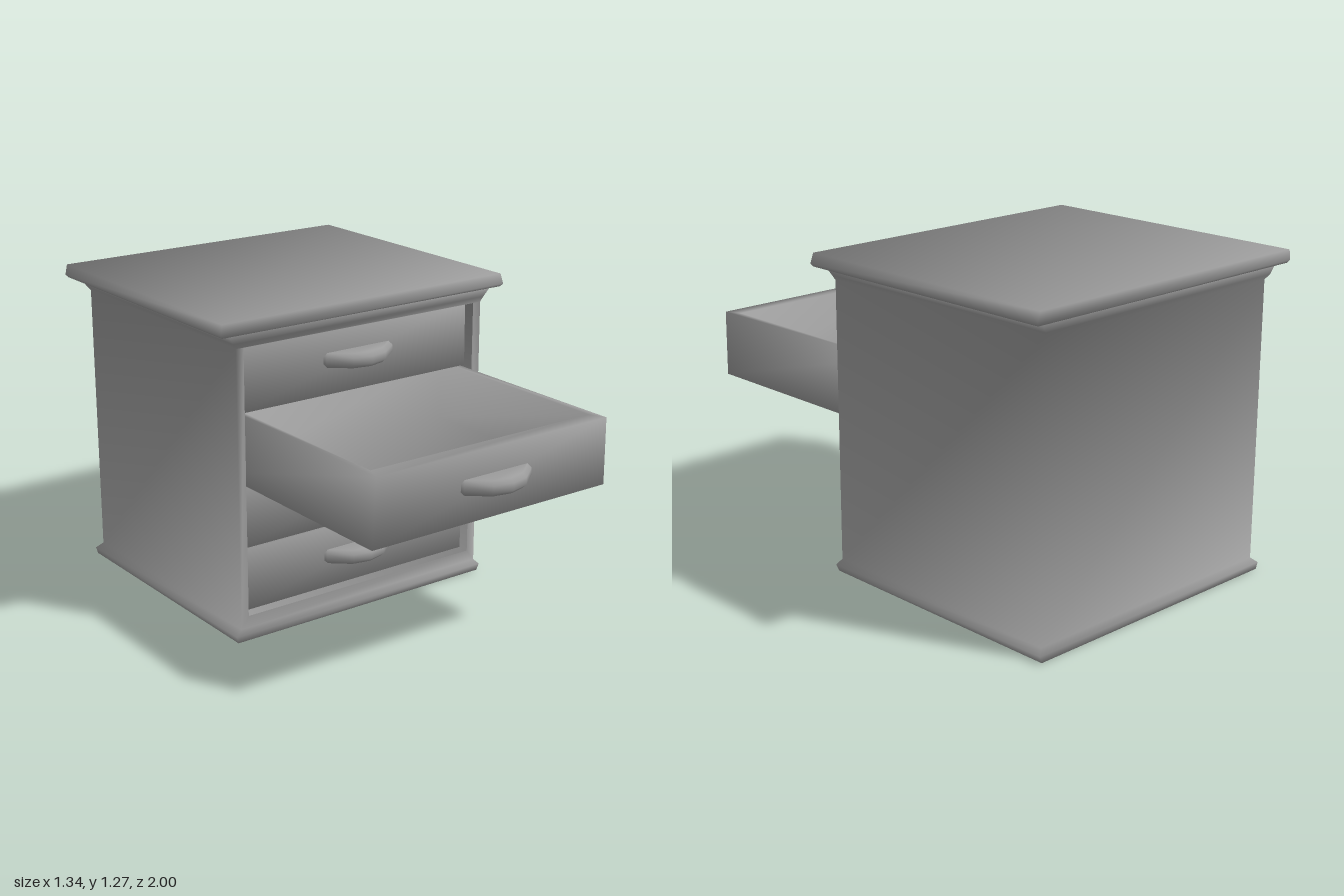
import * as THREE from 'three';
import { mergeGeometries, mergeVertices } from 'three/addons/utils/BufferGeometryUtils.js';

const material = new THREE.MeshStandardMaterial({ color: 0x9c9c9c });

function add(parent, name, geometry, x = 0, y = 0, z = 0) {
  const mesh = new THREE.Mesh(geometry, material);
  mesh.name = name;
  mesh.position.set(x, y, z);
  parent.add(mesh);
  return mesh;
}

// Welds the pieces and rounds the shading over every edge, weighted by corner angle
function smooth(...pieces) {
  const bare = pieces.map((piece) => {
    const flat = piece.index ? piece.toNonIndexed() : piece;
    return new THREE.BufferGeometry().setAttribute('position', flat.getAttribute('position'));
  });
  const g = mergeVertices(mergeGeometries(bare), 1e-4);
  const pos = g.getAttribute('position');
  const normals = Array.from({ length: pos.count }, () => new THREE.Vector3());
  const corner = (i) => new THREE.Vector3().fromBufferAttribute(pos, i);
  for (let t = 0; t < g.index.count; t += 3) {
    const ids = [0, 1, 2].map((k) => g.index.getX(t + k));
    const p = ids.map(corner);
    const face = new THREE.Triangle(...p).getNormal(new THREE.Vector3());
    ids.forEach((id, k) => {
      const u = p[(k + 1) % 3].clone().sub(p[k]), v = p[(k + 2) % 3].clone().sub(p[k]);
      normals[id].addScaledVector(face, u.angleTo(v));
    });
  }
  const data = normals.flatMap((n) => n.normalize().toArray());
  return g.setAttribute('normal', new THREE.Float32BufferAttribute(data, 3));
}

// Solid lofted through rectangles [y, xLeft, xRight, zBack, zFront]; one row may have an open front
function loftRects(rows, openRow = -1) {
  const pos = [], index = [];
  for (const [y, l, r, b, f] of rows) pos.push(l, y, f, r, y, f, r, y, b, l, y, b);
  for (let row = 0; row < rows.length - 1; row++) {
    for (let i = row === openRow ? 1 : 0; i < 4; i++) {
      const a = row * 4 + i, n = row * 4 + (i + 1) % 4;
      index.push(a, n, n + 4, a, n + 4, a + 4);
    }
  }
  const t = (rows.length - 1) * 4;
  index.push(0, 2, 1, 0, 3, 2, t, t + 1, t + 2, t, t + 2, t + 3);
  const g = new THREE.BufferGeometry();
  g.setAttribute('position', new THREE.Float32BufferAttribute(pos, 3));
  g.setIndex(index);
  return g;
}

function polygon(points) {
  return new THREE.Shape(points.map(([x, y]) => new THREE.Vector2(x, y)));
}

// Bow-shaped solid pull with bevelled upper and lower edges
function handleGeometry() {
  const outline = [[-0.16, -0.02], [-0.145, 0.005], [-0.07, 0.07], [0.005, 0.085],
    [0.075, 0.068], [0.155, 0.005], [0.17, -0.02]];
  const g = new THREE.ExtrudeGeometry(polygon(outline), {
    depth: 0.028, bevelEnabled: true, bevelThickness: 0.015, bevelSize: 0.015,
    bevelOffset: -0.005, bevelSegments: 1,
  });
  g.translate(0, 0, -0.014);
  g.rotateX(Math.PI / 2);
  return smooth(g);
}

// Open-topped drawer; its front face lies at z = 0
function makeDrawer(height, handleY) {
  const drawer = new THREE.Group();
  const box = loftRects([
    [0, -0.547, 0.542, -0.96, 0],
    [height, -0.532, 0.54, -0.96, 0],
    [height, -0.508, 0.51, -0.93, -0.063],
    [0.025, -0.508, 0.51, -0.93, -0.063],
  ]);
  add(drawer, 'drawerBox', smooth(box));
  add(drawer, 'drawerHandle', handleGeometry(), 0, handleY, 0);
  return drawer;
}

export function createModel() {
  const model = new THREE.Group();
  model.name = 'chestOfDrawers';

  // Carcass with plinth and cornice in one skin, its front filled by a frame
  const [left, right, low, high, back, front] = [-0.583, 0.58, 0.052, 1.167, -0.95, 0.135];
  const shell = loftRects([
    [0.003, -0.603, 0.592, -0.965, 0.143],
    [0.03, -0.611, 0.602, -0.967, 0.146],
    [low, left, right, back, front],
    [high, left, right, back, front],
    [1.187, -0.596, 0.592, -0.965, 0.14],
    [1.226, -0.622, 0.616, -0.968, 0.152],
  ], 2);
  const frame = polygon([[left, low], [right, low], [right, high], [left, high]]);
  frame.holes.push(polygon([[-0.549, 0.1], [-0.549, 1.166], [0.543, 1.166], [0.543, 0.1]]));
  add(model, 'carcass', smooth(shell, new THREE.ShapeGeometry(frame).translate(0, 0, front)));

  // Recess behind the frame, seen from inside
  const recess = new THREE.BoxGeometry(1.092, 1.066, 1.045);
  recess.deleteAttribute('uv');
  recess.index.array.reverse();
  recess.setIndex(Array.from(recess.index.array).filter((_, i) => i < 6 || i >= 12));
  add(model, 'drawerRecess', smooth(recess), -0.003, 0.633, front - 0.5225);

  // Top board with an undercut lip
  add(model, 'topBoard', smooth(loftRects([
    [1.225, -0.66, 0.656, -0.992, 0.167],
    [1.236, -0.67, 0.665, -0.998, 0.174],
    [1.277, -0.66, 0.655, -1, 0.168],
  ])));

  // Drawers as [bottom, top, handle height, front z]; the second from the top is pulled out
  const drawers = [
    [0.102, 0.354, 0.23, 0.09], [0.36, 0.621, 0.495, 0.09],
    [0.628, 0.892, 0.766, 0.905], [0.9, 1.165, 1.037, 0.09],
  ];
  drawers.forEach(([bottom, top, handleY, z], i) => {
    const drawer = makeDrawer(top - bottom, handleY - bottom);
    drawer.name = 'drawer' + (i + 1);
    drawer.position.set(0, bottom, z);
    model.add(drawer);
  });
  return model;
}
